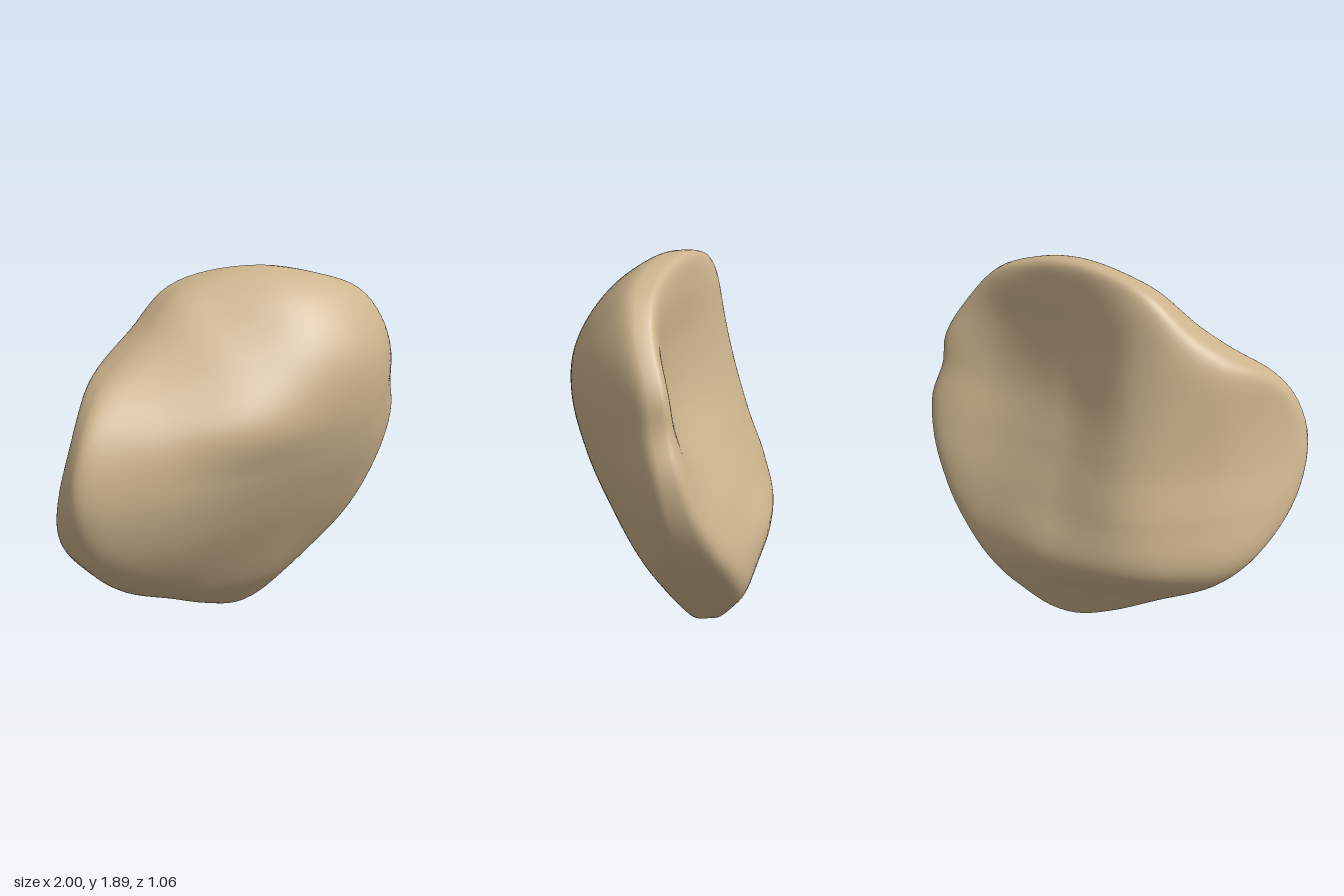
import * as THREE from 'three';

// Outline of the stone in the xy plane, counterclockwise from the foot
const OUTLINE = [
  [0.12, 0], [0.28, 0.03], [0.45, 0.17], [0.7, 0.42], [0.88, 0.66], [0.98, 0.88], [1, 1.08],
  [0.94, 1.26], [0.92, 1.41], [0.8, 1.6], [0.63, 1.77], [0.42, 1.85], [0.2, 1.89], [-0.05, 1.87],
  [-0.25, 1.8], [-0.45, 1.63], [-0.6, 1.53], [-0.8, 1.4], [-0.93, 1.23], [-1, 1], [-0.97, 0.76],
  [-0.85, 0.55], [-0.65, 0.36], [-0.35, 0.2], [-0.1, 0.07],
];

// Depth (z) of the front face: rows y = 0..2 by 0.25, columns x = -1..1 by 0.4
const FRONT = [
  [-0.06, -0.05, -0.04, -0.01, 0, 0],
  [0.09, 0.1, 0.11, 0.13, 0.12, 0.08],
  [0.23, 0.24, 0.24, 0.25, 0.24, 0.16],
  [0.3, 0.34, 0.36, 0.37, 0.34, 0.22],
  [0.31, 0.39, 0.45, 0.47, 0.43, 0.26],
  [0.24, 0.35, 0.5, 0.53, 0.48, 0.27],
  [0.1, 0.17, 0.36, 0.5, 0.48, 0.26],
  [-0.06, -0.03, 0.13, 0.36, 0.37, 0.22],
  [-0.2, -0.2, -0.1, 0.1, 0.2, 0.16],
];

// Depth of the back face: two hollows beside a spine, a ledge near y = 0.5, an undercut below
const BACK = [
  [-0.24, -0.25, -0.26, -0.25, -0.25, -0.24],
  [-0.26, -0.34, -0.36, -0.35, -0.34, -0.3],
  [-0.28, -0.44, -0.53, -0.46, -0.31, -0.26],
  [-0.16, -0.37, -0.49, -0.35, -0.2, -0.14],
  [-0.03, -0.29, -0.4, -0.22, -0.06, -0.03],
  [0.04, -0.26, -0.33, -0.1, 0.06, 0.03],
  [0, -0.27, -0.29, -0.06, 0.09, 0.05],
  [-0.13, -0.29, -0.28, -0.09, 0.06, 0.07],
  [-0.25, -0.3, -0.27, -0.13, 0.02, 0.07],
];

// Smooth interpolation through equally spaced values
function spline(values, t) {
  const n = values.length - 1;
  const u = THREE.MathUtils.clamp(t, 0, 1) * n;
  const i = Math.min(Math.floor(u), n - 1), f = u - i;
  const p1 = values[i], p2 = values[i + 1];
  const p0 = values[Math.max(i - 1, 0)], p3 = values[Math.min(i + 2, n)];
  const a = (p2 - p0) / 2, b = (p3 - p1) / 2;
  return p1 + f * (a + f * (3 * (p2 - p1) - 2 * a - b + f * (2 * (p1 - p2) + a + b)));
}

const depth = (table, x, y) => spline(table.map((row) => spline(row, (x + 1) / 2)), y / 2);

// Rings run from the middle of the front, round the rim, to the middle of the back
function stoneGeometry() {
  const around = 120, rings = 80, cx = 0.05, cy = 0.98;
  const curve = new THREE.CatmullRomCurve3(
    OUTLINE.map(([x, y]) => new THREE.Vector3(x, y, 0)), true, 'centripetal');
  const rim = curve.getSpacedPoints(around).slice(0, around);
  const positions = [], index = [];
  const addPoint = (x, y, h) => {
    const f = depth(FRONT, x, y), b = depth(BACK, x, y);
    positions.push(x, y, (f + b) / 2 + h * (f - b) / 2);
  };

  addPoint(cx, cy, 1);
  for (let r = 1; r < rings; r++) {
    const e = 2 * r / rings - 1;
    const phi = Math.PI / 2 * (1 + Math.sign(e) * (1 - (1 - Math.abs(e)) ** 1.5));
    for (const p of rim) {
      // The lower flanks are blunt walls, the upper rim is rounder
      const power = 0.44 + 0.13 * THREE.MathUtils.smoothstep(p.y, 0.4, 1.2);
      const s = Math.sin(phi) ** power;
      const h = -Math.sign(e) * Math.abs(Math.cos(phi)) ** power;
      addPoint(cx + (p.x - cx) * s, cy + (p.y - cy) * s, h);
    }
  }
  addPoint(cx, cy, -1);

  const id = (r, k) => 1 + (r - 1) * around + (k % around);
  const last = 1 + (rings - 1) * around;
  for (let k = 0; k < around; k++) {
    index.push(0, id(1, k), id(1, k + 1));
    for (let r = 1; r < rings - 1; r++) {
      index.push(id(r, k), id(r + 1, k), id(r + 1, k + 1));
      index.push(id(r, k), id(r + 1, k + 1), id(r, k + 1));
    }
    index.push(id(rings - 1, k), last, id(rings - 1, k + 1));
  }

  const geometry = new THREE.BufferGeometry();
  geometry.setAttribute('position', new THREE.Float32BufferAttribute(positions, 3));
  geometry.setIndex(index);
  geometry.computeVertexNormals();
  return geometry;
}

export function createModel() {
  const sandstone = new THREE.MeshStandardMaterial({ color: 0xcbb38c });
  sandstone.name = 'sandstone';

  const stone = new THREE.Mesh(stoneGeometry(), sandstone);
  stone.name = 'stone';

  const model = new THREE.Group();
  model.name = 'rock';
  model.add(stone);
  return model;
}
